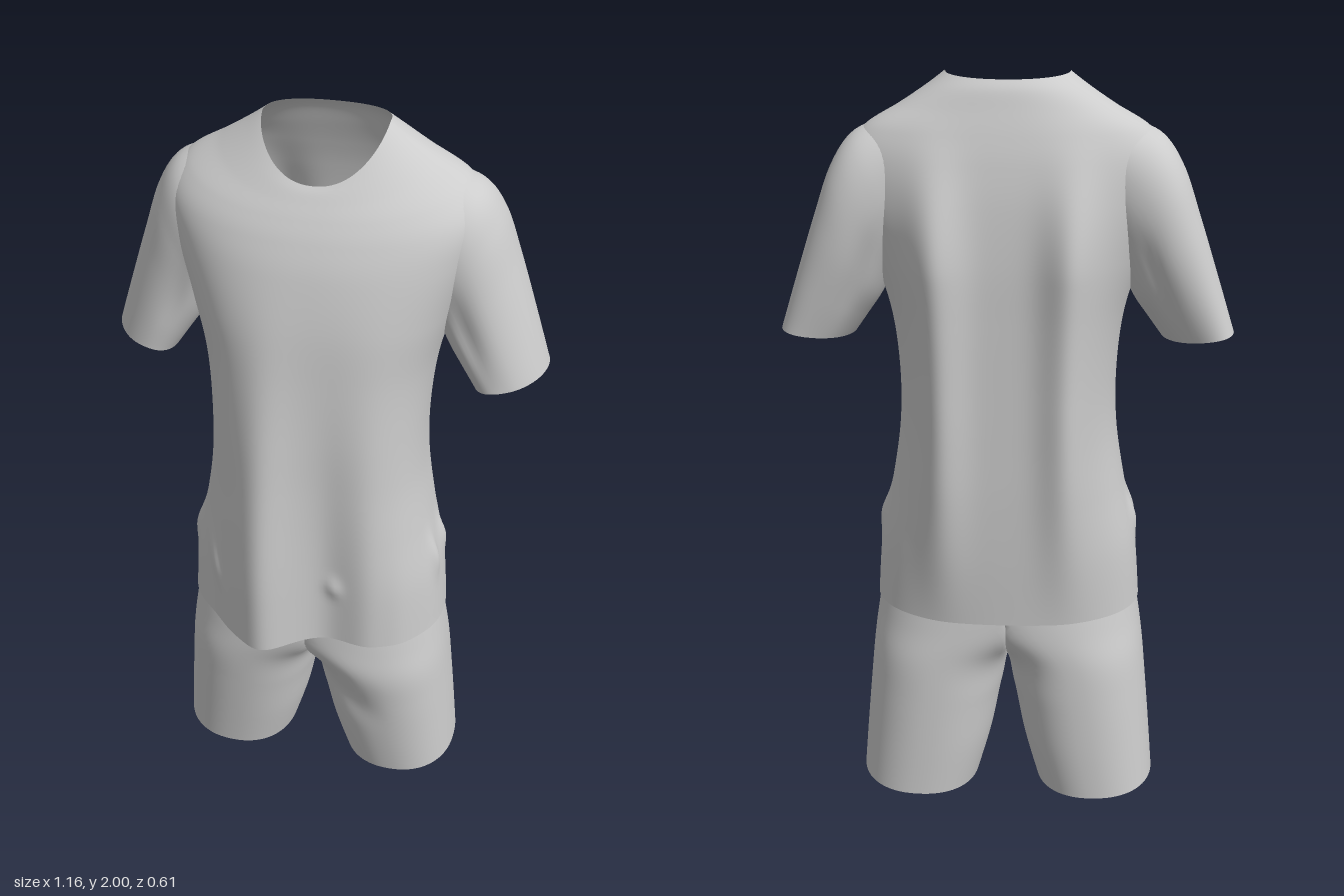
import * as THREE from 'three';

const cloth = new THREE.MeshStandardMaterial({ color: 0xcccccc, side: THREE.DoubleSide });
cloth.name = 'light grey cloth';

const { lerp, smoothstep } = THREE.MathUtils;
const bump = (x, centre, width) => Math.exp(-(((x - centre) / width) ** 2));
const soft = (v, e) => Math.sign(v) * Math.abs(v) ** e;

// Smooth interpolation through a short table of cross-section values, t from 0 to 1
function sample(rows, t) {
  const f = t * (rows.length - 1);
  const i = Math.min(Math.floor(f), rows.length - 2);
  const k = f - i;
  const at = (n) => rows[Math.max(0, Math.min(rows.length - 1, n))];
  return rows[0].map((_, c) => {
    const [p0, p1, p2, p3] = [at(i - 1)[c], at(i)[c], at(i + 1)[c], at(i + 2)[c]];
    const m1 = (p2 - p0) / 2, m2 = (p3 - p1) / 2;
    return p1 + k * (m1 + k * (3 * (p2 - p1) - 2 * m1 - m2 + k * (2 * (p1 - p2) + m1 + m2)));
  });
}

// Open tube of cloth from a point rule (t, angle); keep() can drop quads
function loft(name, point, across, up, side = 1, keep = () => true) {
  const pos = [], index = [];
  for (let j = 0; j <= up; j++) {
    for (let i = 0; i < across; i++) {
      const p = point(j / up, (i / across) * Math.PI * 2);
      pos.push(p.x * side, p.y, p.z);
    }
  }
  for (let j = 0; j < up; j++) {
    for (let i = 0; i < across; i++) {
      const n = (i + 1) % across;
      const a = j * across + i, b = j * across + n, c = b + across, d = a + across;
      if (!keep([a, b, c, d].map((v) => Math.abs(pos[v * 3])))) continue;
      if (side > 0) index.push(a, d, c, a, c, b);
      else index.push(a, c, d, a, b, c);
    }
  }
  const geo = new THREE.BufferGeometry();
  geo.setAttribute('position', new THREE.Float32BufferAttribute(pos, 3));
  geo.setIndex(index);
  geo.computeVertexNormals();
  const mesh = new THREE.Mesh(geo, cloth);
  mesh.name = name;
  return mesh;
}

// Shirt body: side y, front y, back y, half width, front z, back z
const bodyRows = [
  [0.57, 0.58, 0.56, 0.366, 0.222, -0.243],
  [0.75, 0.75, 0.74, 0.35, 0.225, -0.255],
  [0.92, 0.92, 0.92, 0.315, 0.228, -0.262],
  [1.08, 1.08, 1.08, 0.291, 0.23, -0.264],
  [1.24, 1.24, 1.24, 0.287, 0.23, -0.265],
  [1.40, 1.40, 1.40, 0.302, 0.222, -0.266],
  [1.55, 1.55, 1.55, 0.342, 0.207, -0.266],
  [1.70, 1.68, 1.69, 0.388, 0.178, -0.258],
  [1.80, 1.76, 1.79, 0.4, 0.148, -0.244],
  [1.87, 1.81, 1.86, 0.355, 0.122, -0.228],
  [1.925, 1.845, 1.92, 0.265, 0.1, -0.21],
  [1.967, 1.866, 1.965, 0.2, 0.086, -0.195],
  [2.0, 1.88, 1.99, 0.155, 0.074, -0.178],
];
function bodyPoint(t, a) {
  const [ys, yf, yb, w, zf, zb] = sample(bodyRows, t);
  const s = Math.sin(a), front = s > 0;
  const chest = smoothstep(ys, 1.5, 1.88);
  const zc = lerp(-0.02, -0.09, smoothstep(ys, 1.1, 1.7)) + 0.025 * smoothstep(ys, 1.88, 2);
  let x = w * soft(Math.cos(a), lerp(0.84, 0.9, chest));
  const y = ys + ((front ? yf : yb) - ys) * Math.abs(s) ** 1.4;
  let z = zc + soft(s, front ? lerp(0.84, 0.96, chest) : 0.82) * (front ? zf - zc : zc - zb);
  if (front) {
    // hanging folds down the front
    const hang = 1 - smoothstep(y, 0.75, 1.75);
    const folds = 0.085 * bump(x, -0.105, 0.09) + 0.026 * bump(x, -0.21, 0.06) + 0.02 * bump(x, 0.2, 0.06)
      + 0.022 * bump(x, 0.28, 0.05) - 0.014 * bump(x, 0.07, 0.06);
    z += s * hang * folds;
    // small pucker on the front
    z += 0.011 * bump(x, 0.09, 0.02) * bump(y, 0.77, 0.03);
    // slanted crease beside the right pocket
    z += 0.014 * bump(x + 0.25 * (y - 0.77), -0.25, 0.02) * bump(y, 0.78, 0.07);
  } else {
    // shoulder blade folds down the back
    const drape = smoothstep(y, 0.45, 1.2) * (1 - smoothstep(y, 1.52, 1.92));
    z += s * drape * 0.064 * (bump(x, -0.17, 0.07) + bump(x, 0.18, 0.07));
  }
  // pocket wrinkles at the hips
  const wrinkles = bump(z, 0.045, 0.02) * bump(y, 0.8, 0.06) + bump(z, -0.05, 0.02) * bump(y, 0.81, 0.05);
  x += Math.sign(x) * 0.014 * Math.abs(Math.cos(a)) * wrinkles;
  return new THREE.Vector3(x, y, z);
}

// Sleeve from cuff to shoulder: inner x, inner y, outer x, outer y, front z, back z
const sleeveRows = [
  [0.40, 1.33, 0.58, 1.362, 0.02, -0.192],
  [0.362, 1.385, 0.535, 1.5, 0.028, -0.21],
  [0.325, 1.44, 0.483, 1.655, 0.036, -0.226],
  [0.29, 1.51, 0.437, 1.78, 0.044, -0.23],
  [0.25, 1.58, 0.38, 1.857, 0.05, -0.222],
  [0.21, 1.67, 0.285, 1.893, 0.03, -0.2],
];
function sleevePoint(t, a) {
  const [xi, yi, xo, yo, zf, zb] = sample(sleeveRows, t);
  const c = Math.cos(a), s = Math.sin(a), k = (1 + soft(c, 0.92)) / 2;
  // the outer edge sits further back, with a soft crease near the armpit
  const skew = -0.04 * c * (1 - t);
  const crease = -0.014 * s * bump(c, -0.35, 0.25) * bump(t, 0.4, 0.25);
  return new THREE.Vector3(
    xi + (xo - xi) * k,
    yi + (yo - yi) * k,
    (zf + zb) / 2 + ((zf - zb) / 2) * soft(s, 0.95) + skew + crease
  );
}

// Shorts half from hem to waist: y, inner x, outer x, front z, back z
const legRows = [
  [0.01, 0.085, 0.42, 0.138, -0.238],
  [0.15, 0.046, 0.408, 0.158, -0.24],
  [0.3, 0.016, 0.394, 0.178, -0.24],
  [0.42, -0.02, 0.382, 0.192, -0.238],
  [0.52, -0.15, 0.368, 0.198, -0.234],
  [0.64, -0.24, 0.348, 0.195, -0.225],
  [0.78, -0.27, 0.32, 0.185, -0.21],
  [0.92, -0.26, 0.275, 0.17, -0.19],
];
function legPoint(side) {
  return (t, a) => {
    const [y, xi, xo, zf, zb] = sample(legRows, t);
    const c = Math.cos(a), s = Math.sin(a);
    const x = (xi + xo) / 2 + ((xo - xi) / 2) * soft(c, 0.9);
    let z = (zf + zb) / 2 + ((zf - zb) / 2) * soft(s, 0.88);
    // pulled folds running out from the crotch on the left leg
    if (side > 0 && s > 0) {
      z -= 0.016 * s * bump(x, 0.12, 0.07) * bump(y + 0.4 * x, 0.36, 0.06);
      z += 0.008 * s * bump(x, 0.13, 0.09) * bump(y + 0.4 * x, 0.5, 0.06);
    }
    return new THREE.Vector3(Math.max(0, x), y + 0.008 * (1 - t) * c, z);
  };
}

export function createModel() {
  const model = new THREE.Group();
  model.name = 'shirtAndShorts';

  const shirt = new THREE.Group();
  shirt.name = 'shirt';
  shirt.add(loft('shirtBody', bodyPoint, 200, 130));
  const shorts = new THREE.Group();
  shorts.name = 'shorts';

  for (const side of [1, -1]) {
    const label = side > 0 ? 'left' : 'right';
    shirt.add(loft(label + 'Sleeve', sleevePoint, 56, 36, side));
    // halves meet on the centre line, without a wall between them
    shorts.add(loft(label + 'Leg', legPoint(side), 72, 48, side, (xs) => xs.some((x) => x > 1e-6)));
  }

  model.add(shirt, shorts);
  return model;
}
